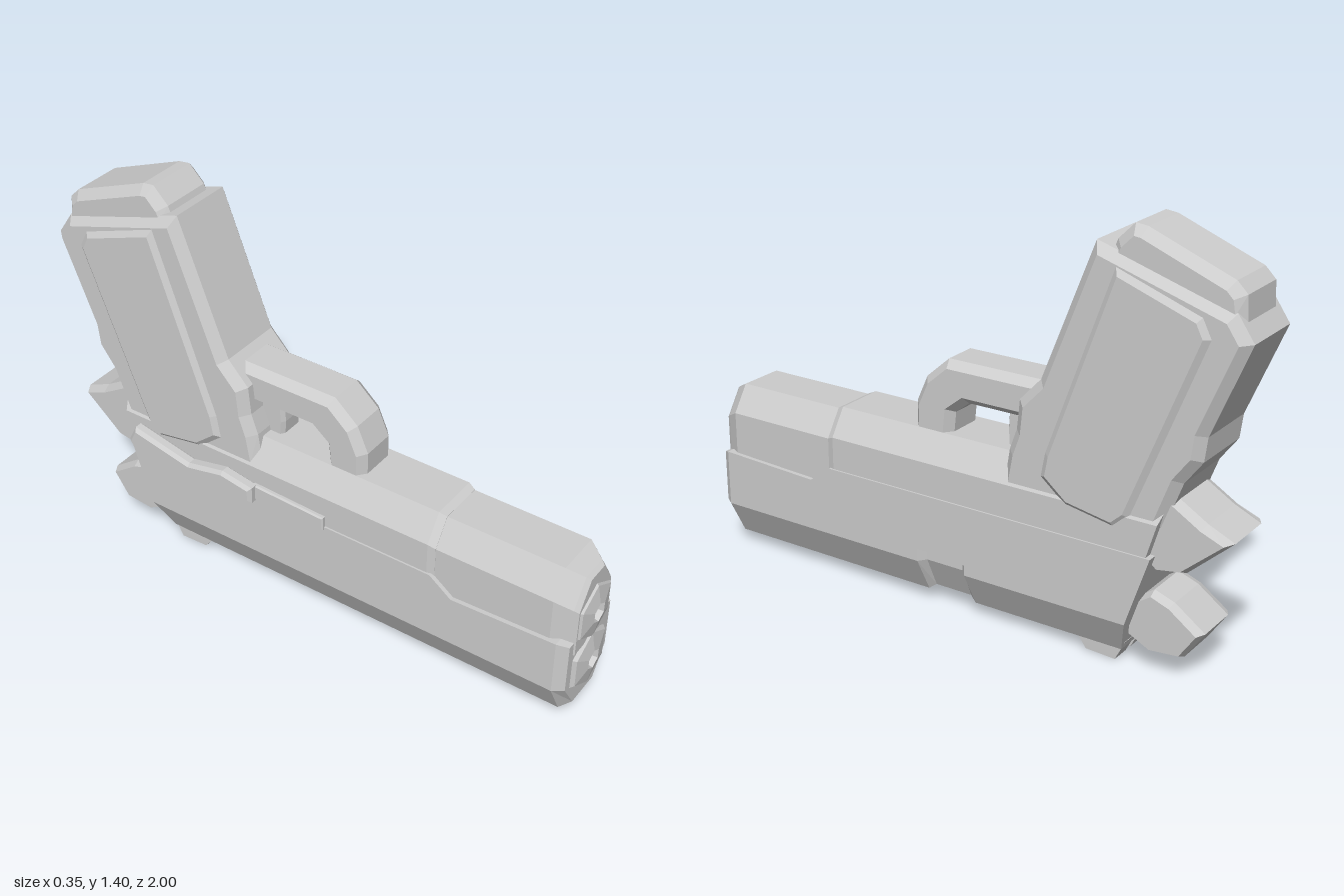
import * as THREE from 'three';

const metal = new THREE.MeshStandardMaterial({ color: 0xcccccc, flatShading: true });
metal.name = 'grey metal';

// Side outline of [z, y] points, given a width along x and chamfered rims
function slab(name, outline, halfWidth, rim = 0.02, inset = rim, x = 0) {
  const shape = new THREE.Shape(outline.map(([z, y]) => new THREE.Vector2(z, y)));
  const depth = 2 * (halfWidth - rim);
  const geo = new THREE.ExtrudeGeometry(shape, {
    depth, bevelEnabled: true, bevelSegments: 1,
    bevelThickness: rim, bevelSize: inset, bevelOffset: -inset,
  });
  geo.translate(0, 0, -depth / 2).rotateY(-Math.PI / 2).translate(x, 0, 0);
  return named(name, geo);
}

// Skin over rings of [x, y, z] points, ordered front to back, with closed ends
function loft(name, rings) {
  const n = rings[0].length, index = [];
  rings.slice(1).forEach((_, i) => {
    for (let j = 0; j < n; j++) {
      const k = (j + 1) % n, a = i * n + j, b = i * n + k, c = a + n, d = b + n;
      index.push(a, c, b, b, c, d);
    }
  });
  const last = (rings.length - 1) * n;
  for (let j = 1; j < n - 1; j++) index.push(0, j, j + 1, last, last + j + 1, last + j);
  const geo = new THREE.BufferGeometry();
  geo.setAttribute('position', new THREE.Float32BufferAttribute(rings.flat(2), 3));
  geo.setIndex(index);
  const flat = geo.toNonIndexed();
  flat.computeVertexNormals();
  return named(name, flat);
}

function named(name, geo) {
  const mesh = new THREE.Mesh(geo, metal);
  mesh.name = name;
  return mesh;
}

// Slide cross-section; cut sinks the ejection port into the +x flank
function slideRing(z, top, { cut = 0, inset = 0, slant = 0 } = {}) {
  const w = 0.155 - inset, b = 0.045 + inset;
  return [
    [0.09 - inset - cut * 0.5, b + cut * 0.5], [w - cut, 0.17], [w - cut, 0.205], [w, 0.215],
    [w, top], [-w, top], [-w, 0.17], [-0.09 + inset, b],
  ].map(([x, y]) => [x, y, z - slant * (y - 0.045)]);
}

// Frame cross-section with a chamfered upper edge
function frameRing(z, w, top, { inset = 0, slant = 0 } = {}) {
  const s = w - inset, t = top - inset;
  return [[s, 0.3], [s, t - 0.09], [s - 0.06, t], [-s + 0.06, t], [-s, t - 0.09], [-s, 0.3]]
    .map(([x, y]) => [x, y, z - slant * (y - 0.3)]);
}

function hexPlug(name, y, r) {
  const profile = [[r, 0], [r, 0.03], [r * 0.88, 0.045], [0.036, 0.058], [0.03, 0.035], [0, 0.035]];
  const geo = new THREE.LatheGeometry(profile.map(p => new THREE.Vector2(...p)), 6);
  geo.rotateX(Math.PI / 2).translate(0, y, 0.942);
  return named(name, geo.toNonIndexed());
}

export function createModel() {
  const model = new THREE.Group();
  model.name = 'upturnedPistol';
  const body = new THREE.Group();
  body.name = 'pistolBody';
  body.position.x = 0.015;
  model.add(body);

  // Slide, with a stepped upper edge and an ejection port
  body.add(loft('slide', [
    slideRing(0.975, 0.35, { inset: 0.025 }), slideRing(0.94, 0.365),
    slideRing(0.57, 0.35), slideRing(0.49, 0.41),
    slideRing(0.13, 0.41), slideRing(0.11, 0.41, { cut: 0.028 }),
    slideRing(-0.03, 0.41, { cut: 0.028 }), slideRing(-0.055, 0.41),
    slideRing(-0.6, 0.41, { slant: 0.33 }),
  ]));

  // Frame and the slimmer dust cover ahead of it
  body.add(loft('dustCover', [
    frameRing(0.98, 0.14, 0.6, { inset: 0.04 }), frameRing(0.965, 0.14, 0.6, { inset: 0.03 }),
    frameRing(0.91, 0.14, 0.6), frameRing(0.48, 0.14, 0.6),
  ]));
  body.add(loft('frame', [
    frameRing(0.5, 0.141, 0.601), frameRing(0.475, 0.149, 0.612),
    frameRing(-0.67, 0.149, 0.612, { slant: 0.3 }),
  ]));

  // Muzzle plugs
  body.add(hexPlug('upperMuzzlePlug', 0.41, 0.115), hexPlug('lowerMuzzlePlug', 0.215, 0.118));

  // Grip, side panels and magazine base
  body.add(slab('grip', [
    [-0.18, 0.5], [-0.2, 0.63], [-0.225, 0.7], [-0.235, 0.8], [-0.31, 0.88], [-0.49, 1.34],
    [-0.94, 1.2], [-0.995, 1.12], [-0.87, 0.82], [-0.86, 0.74], [-0.8, 0.66], [-0.74, 0.5],
  ], 0.143, 0.03, 0.03));
  body.add(slab('gripPanels', [
    [-0.57, 1.28], [-0.85, 1.18], [-0.88, 1.12], [-0.64, 0.52], [-0.59, 0.475],
    [-0.42, 0.505], [-0.33, 0.58], [-0.345, 0.66],
  ], 0.157, 0.015, 0.02));
  body.add(slab('magazineBase', [
    [-0.52, 1.28], [-0.545, 1.345], [-0.6, 1.4], [-0.64, 1.395], [-0.92, 1.285],
    [-0.955, 1.25], [-0.96, 1.16],
  ], 0.118, 0.03, 0.03));

  // Trigger guard and trigger
  body.add(slab('triggerGuard', [
    [0.19, 0.58], [0.19, 0.69], [0.15, 0.78], [0.065, 0.855], [-0.3, 0.855], [-0.3, 0.72],
    [-0.01, 0.72], [0.04, 0.68], [0.05, 0.58],
  ], 0.088, 0.03, 0.025));
  body.add(slab('trigger', [
    [-0.15, 0.58], [-0.145, 0.66], [-0.15, 0.74], [-0.24, 0.74], [-0.22, 0.58],
  ], 0.05, 0.015, 0.01));

  // Tang and hammer at the rear
  body.add(slab('tang', [
    [-0.66, 0.6], [-0.77, 0.6], [-0.87, 0.54], [-0.96, 0.5], [-0.81, 0.365], [-0.72, 0.35], [-0.66, 0.4],
  ], 0.12, 0.035, 0.015));
  body.add(slab('hammer', [
    [-0.62, 0.22], [-0.7, 0.275], [-0.77, 0.25], [-0.875, 0.175], [-0.81, 0.08], [-0.7, 0.07], [-0.62, 0.11],
  ], 0.105, 0.03, 0.012));

  // Sights beneath the slide, the rear one notched
  body.add(slab('frontSight', [[0.86, 0.06], [0.84, 0.035], [0.78, 0.027], [0.72, 0.035], [0.72, 0.06]], 0.03, 0.006));
  const rearOutline = [[-0.43, 0.06], [-0.47, 0.005], [-0.575, 0], [-0.61, 0.07]];
  for (const side of [-1, 1])
    body.add(slab('rearSightPost', rearOutline, 0.034, 0.006, 0, side * 0.05));
  body.add(slab('rearSightBridge', [[-0.43, 0.06], [-0.46, 0.025], [-0.58, 0.025], [-0.61, 0.07]], 0.03, 0.004, 0));

  // Controls on the -x flank: safety, its bar and the slide stop
  body.add(slab('safetyLever', [
    [-0.18, 0.4], [-0.18, 0.46], [-0.3, 0.48], [-0.44, 0.45], [-0.67, 0.5], [-0.7, 0.44], [-0.66, 0.38], [-0.42, 0.39],
  ], 0.025, 0.012, 0.012, -0.168));
  body.add(slab('slideStop', [[0.09, 0.4], [0.09, 0.45], [-0.19, 0.46], [-0.19, 0.4]], 0.015, 0.005, 0.005, -0.149));

  return model;
}
